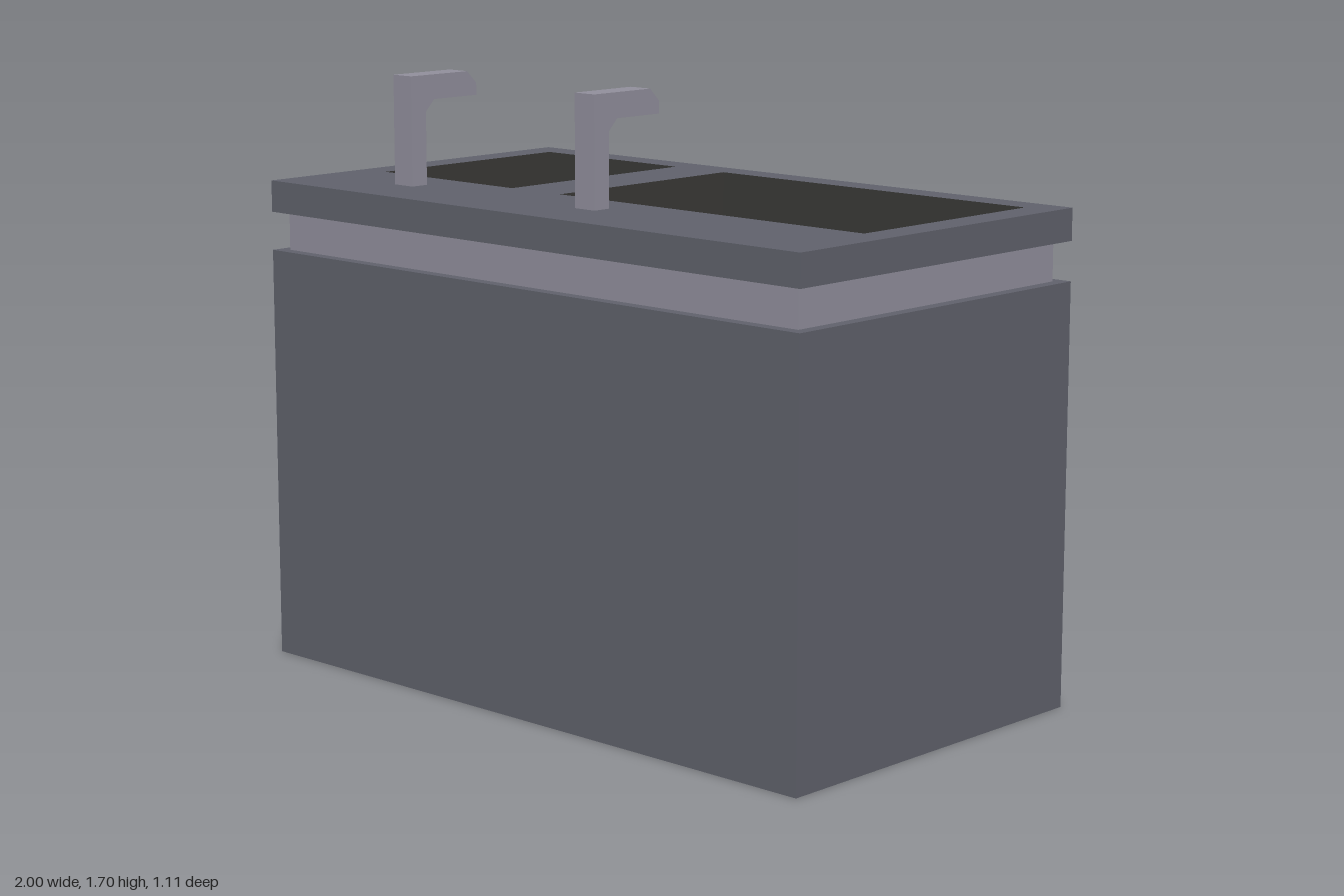
import * as THREE from 'three';

const mat = (name, color) => Object.assign(new THREE.MeshStandardMaterial({ color }), { name });

// Basin openings: x from, x to, z from, z to
const BASINS = [
  [-0.91, -0.38, -0.47, 0.2],
  [-0.19, 0.905, -0.47, 0.2],
];
const FLOOR_Y = 1.13;

const rect = (x0, x1, z0, z1) => [
  new THREE.Vector2(x0, -z1), new THREE.Vector2(x1, -z1),
  new THREE.Vector2(x1, -z0), new THREE.Vector2(x0, -z0),
];

export function createModel() {
  const slate = mat('slate grey', 0x60626c);
  const steel = mat('light steel', 0x92909d);
  const dark = mat('dark lining', 0x3a3937);
  const blue = mat('blue water', 0x5157d2);

  const model = new THREE.Group();
  model.name = 'doubleSink';
  const add = (name, geometry, material) => {
    const mesh = new THREE.Mesh(geometry, material);
    mesh.name = name;
    model.add(mesh);
    return mesh;
  };

  // Slab pierced by both basins; the hole walls get the lining colour
  const piercedSlab = (name, halfX, halfZ, y0, y1, material) => {
    const shape = new THREE.Shape(rect(-halfX, halfX, -halfZ, halfZ));
    for (const b of BASINS) shape.holes.push(new THREE.Path(rect(...b)));
    const geo = new THREE.ExtrudeGeometry(shape, { depth: y1 - y0, bevelEnabled: false });
    const { start, count } = geo.groups[1];
    const outer = 4 * 6; // four outer walls come first
    geo.groups[1].count = outer;
    geo.addGroup(start + outer, count - outer, 2);
    geo.rotateX(-Math.PI / 2).translate(0, y0, 0);
    add(name, geo, [material, material, dark]);
  };

  // Cabinet, recessed band and worktop
  add('cabinet', new THREE.BoxGeometry(2, FLOOR_Y, 1.11).translate(0, FLOOR_Y / 2, 0), slate);
  piercedSlab('cabinetRim', 1, 0.555, FLOOR_Y, 1.19, slate);
  piercedSlab('recessedBand', 0.965, 0.52, 1.19, 1.3, steel);
  piercedSlab('worktop', 1, 0.555, 1.3, 1.39, slate);

  // Water at the bottom of each basin
  BASINS.forEach(([x0, x1, z0, z1], i) => {
    const geo = new THREE.BoxGeometry(x1 - x0, 0.004, z1 - z0);
    geo.translate((x0 + x1) / 2, FLOOR_Y, (z0 + z1) / 2);
    add(i ? 'largeBasinWater' : 'smallBasinWater', geo, blue);
  });

  // Taps: side profile (z, y) extruded across x
  const profile = [
    [0.37, 1.39], [0.37, 1.7], [0.155, 1.7], [0.12, 1.665],
    [0.12, 1.63], [0.283, 1.63], [0.315, 1.597], [0.315, 1.39],
  ].map(([z, y]) => new THREE.Vector2(z, y));
  const width = 0.073;
  const tap = new THREE.ExtrudeGeometry(new THREE.Shape(profile), { depth: width, bevelEnabled: false });
  tap.rotateY(-Math.PI / 2).translate(width / 2, 0, 0);
  add('smallBasinTap', tap, steel).position.x = -0.643;
  add('largeBasinTap', tap, steel).position.x = 0.076;

  return model;
}
